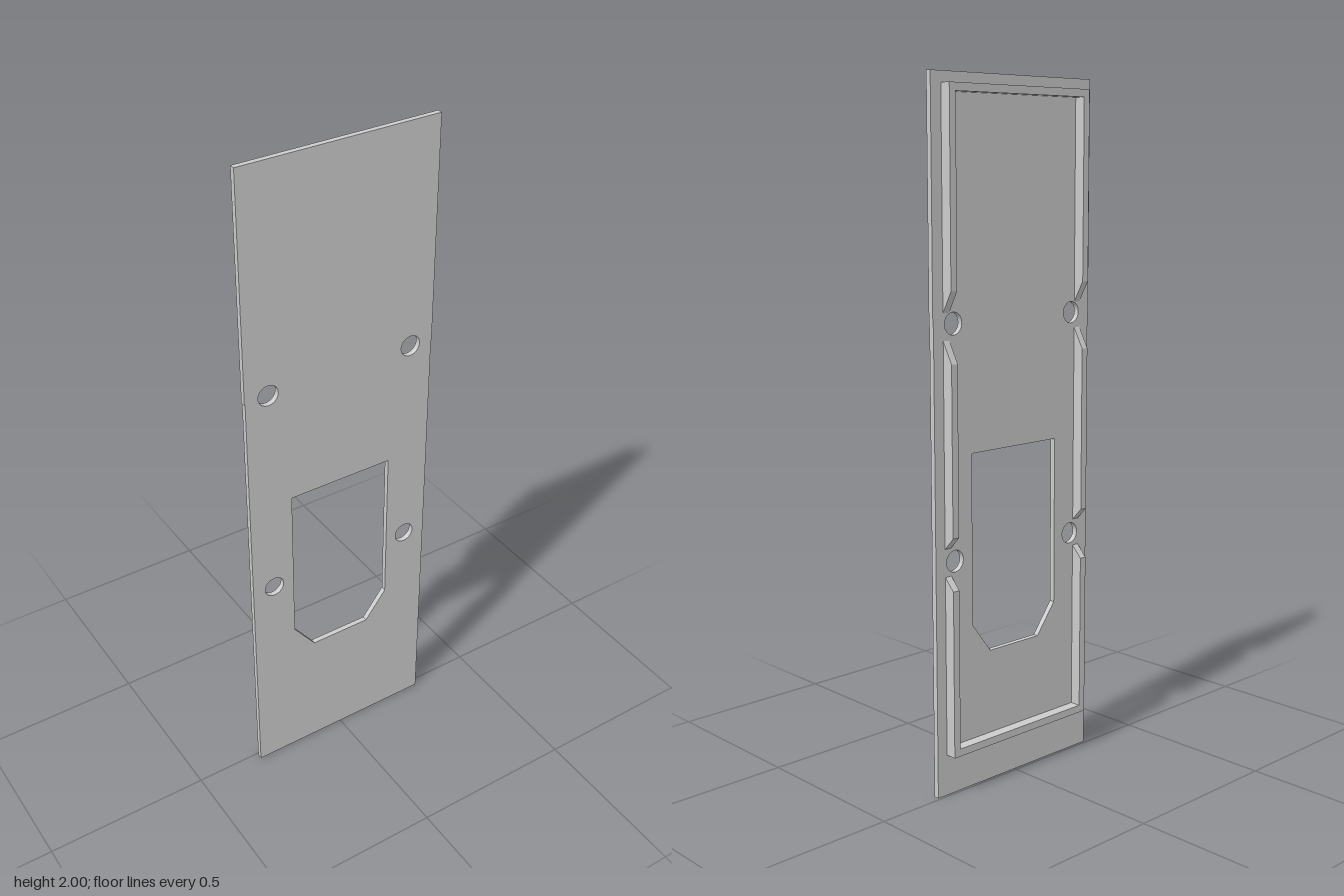
import * as THREE from 'three';

const material = new THREE.MeshStandardMaterial({ color: 0xcccccc });
const PLATE_BACK = 0.007, PLATE_FRONT = 0.023, RIB_BACK = -0.026;
const RIB_X = 0.264, RIB_W = 0.022, RIB_BOTTOM = 0.12, RIB_TOP = 1.97;

const points = (list) => list.map(([x, y]) => new THREE.Vector2(x, y));

function addMesh(group, geometry, name) {
  const mesh = new THREE.Mesh(geometry, material);
  mesh.name = name;
  group.add(mesh);
  return mesh;
}

// Flat panel with a tiny width step, four screw holes and a window
function plateGeometry() {
  const shape = new THREE.Shape(points([
    [-0.298, 0], [0.298, 0], [0.298, 1.335], [0.3, 1.335],
    [0.3, 2], [-0.3, 2], [-0.3, 1.335], [-0.298, 1.335],
  ]));
  shape.holes.push(new THREE.Path(points([
    [-0.163, 0.975], [-0.163, 0.48], [-0.095, 0.39],
    [0.095, 0.39], [0.163, 0.48], [0.163, 0.975],
  ])));
  for (const x of [-0.228, 0.228]) {
    for (const y of [0.68, 1.34]) {
      shape.holes.push(new THREE.Path().absarc(x, y, 0.031, 0, Math.PI * 2, true));
    }
  }
  return new THREE.ExtrudeGeometry(shape, {
    depth: PLATE_FRONT - PLATE_BACK, bevelEnabled: false, curveSegments: 24,
  }).translate(0, 0, PLATE_BACK);
}

// Side rib from its profile in z and y; the ends slope at the screw holes
function sideRibGeometry(baseLow, crestLow, crestHigh, baseHigh) {
  const shape = new THREE.Shape(points([
    [PLATE_BACK, baseLow], [PLATE_BACK, baseHigh],
    [RIB_BACK, crestHigh], [RIB_BACK, crestLow],
  ]));
  return new THREE.ExtrudeGeometry(shape, { depth: RIB_W, bevelEnabled: false })
    .rotateY(-Math.PI / 2).translate(RIB_W / 2, 0, 0);
}

export function createModel() {
  const model = new THREE.Group();
  model.name = 'coverPlate';
  addMesh(model, plateGeometry(), 'plate');

  // Three ribs along each long side
  const spans = {
    lower: [RIB_BOTTOM, RIB_BOTTOM, 0.605, 0.64],
    middle: [0.72, 0.755, 1.235, 1.295],
    upper: [1.37, 1.43, RIB_TOP, RIB_TOP],
  };
  for (const [part, span] of Object.entries(spans)) {
    const geometry = sideRibGeometry(...span);
    for (const [side, sign] of [['Left', 1], ['Right', -1]]) {
      const rib = addMesh(model, geometry, `${part}${side}Rib`);
      rib.position.x = sign * (RIB_X - RIB_W / 2);
    }
  }

  // Cross ribs closing the frame between the side ribs
  const depth = PLATE_BACK - RIB_BACK;
  const cross = new THREE.BoxGeometry(2 * (RIB_X - RIB_W), RIB_W, depth);
  for (const [name, y] of [['topRib', RIB_TOP - RIB_W / 2], ['bottomRib', RIB_BOTTOM + RIB_W / 2]]) {
    addMesh(model, cross, name).position.set(0, y, RIB_BACK + depth / 2);
  }
  return model;
}
